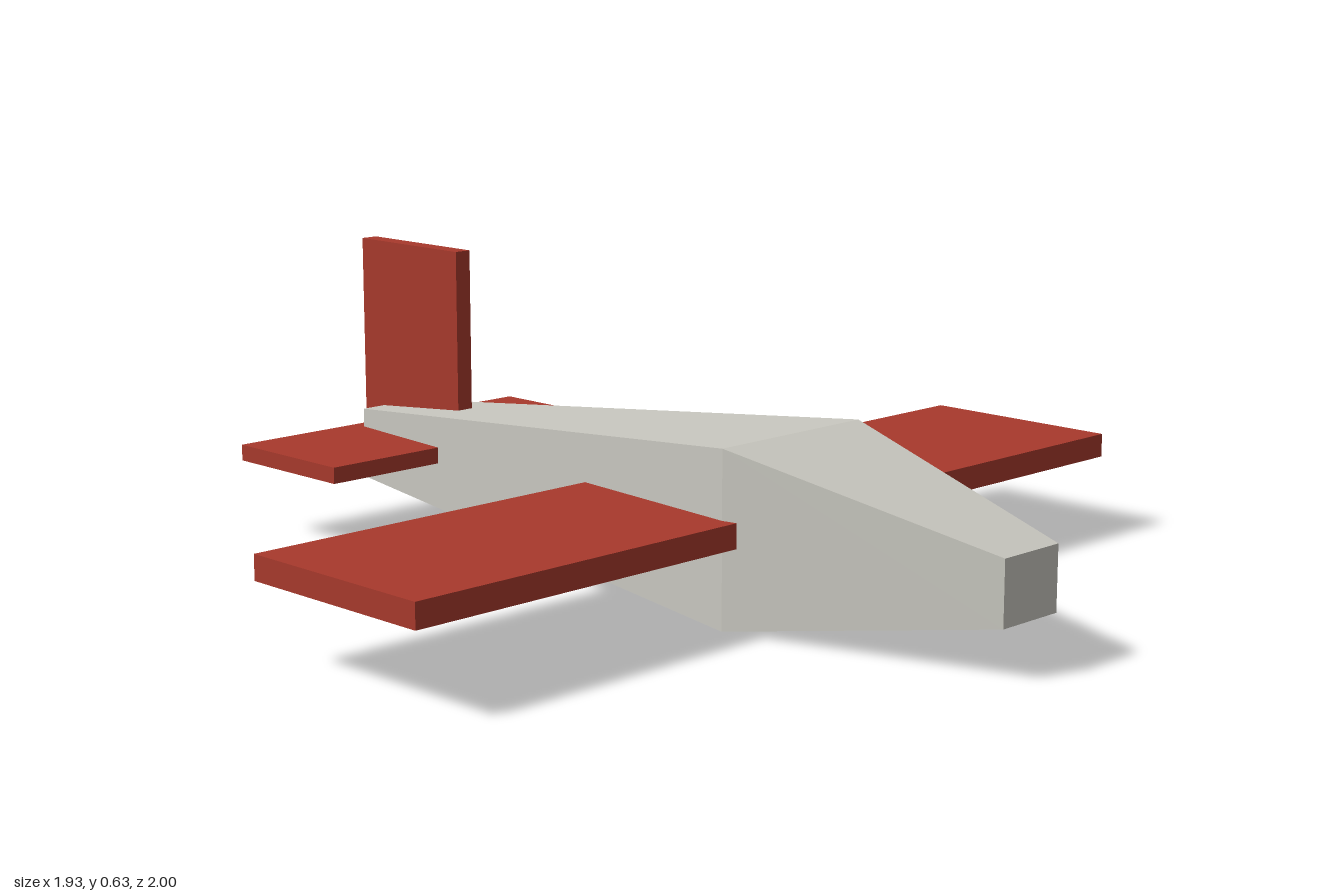
import * as THREE from 'three';

const cream = new THREE.MeshStandardMaterial({ color: 0xc9c8c0 });
cream.name = 'fuselage grey';
const red = new THREE.MeshStandardMaterial({ color: 0xa8392c });
red.name = 'wing red';

// Rectangular cross-sections from tail to nose: x, bottom, top, half width
const sections = [
  [-0.9, 0.09, 0.25, 0.08],
  [0.365, 0, 0.368, 0.2],
  [0.965, 0.103, 0.237, 0.08],
];

// Faceted hull lofted through the cross-sections, with flat end caps
function hullGeometry() {
  const rings = sections.map(([x, low, high, w]) => [
    [x, high, -w], [x, high, w], [x, low, w], [x, low, -w],
  ]);
  const points = [];
  const quad = (a, b, c, d) => points.push(...a, ...b, ...c, ...a, ...c, ...d);
  for (let i = 0; i < rings.length - 1; i++) {
    const a = rings[i], b = rings[i + 1];
    for (let k = 0; k < 4; k++) {
      const n = (k + 1) % 4;
      quad(a[k], a[n], b[n], b[k]);
    }
  }
  quad(...rings[rings.length - 1]);
  quad(...[...rings[0]].reverse());
  const geometry = new THREE.BufferGeometry();
  geometry.setAttribute('position', new THREE.Float32BufferAttribute(points, 3));
  geometry.computeVertexNormals();
  return geometry;
}

// Box panel given by its x and y ranges, centred on z = 0
function panel(name, x0, x1, y0, y1, span) {
  const mesh = new THREE.Mesh(new THREE.BoxGeometry(x1 - x0, y1 - y0, span), red);
  mesh.position.set((x0 + x1) / 2, (y0 + y1) / 2, 0);
  mesh.name = name;
  return mesh;
}

export function createModel() {
  const model = new THREE.Group();
  model.name = 'airplane';

  const fuselage = new THREE.Mesh(hullGeometry(), cream);
  fuselage.name = 'fuselage';

  model.add(
    fuselage,
    panel('mainWing', -0.069, 0.398, 0.172, 0.224, 2),
    panel('tailplane', -0.935, -0.602, 0.172, 0.208, 0.8),
    panel('tailFin', -0.966, -0.634, 0.173, 0.635, 0.04),
  );
  return model;
}
